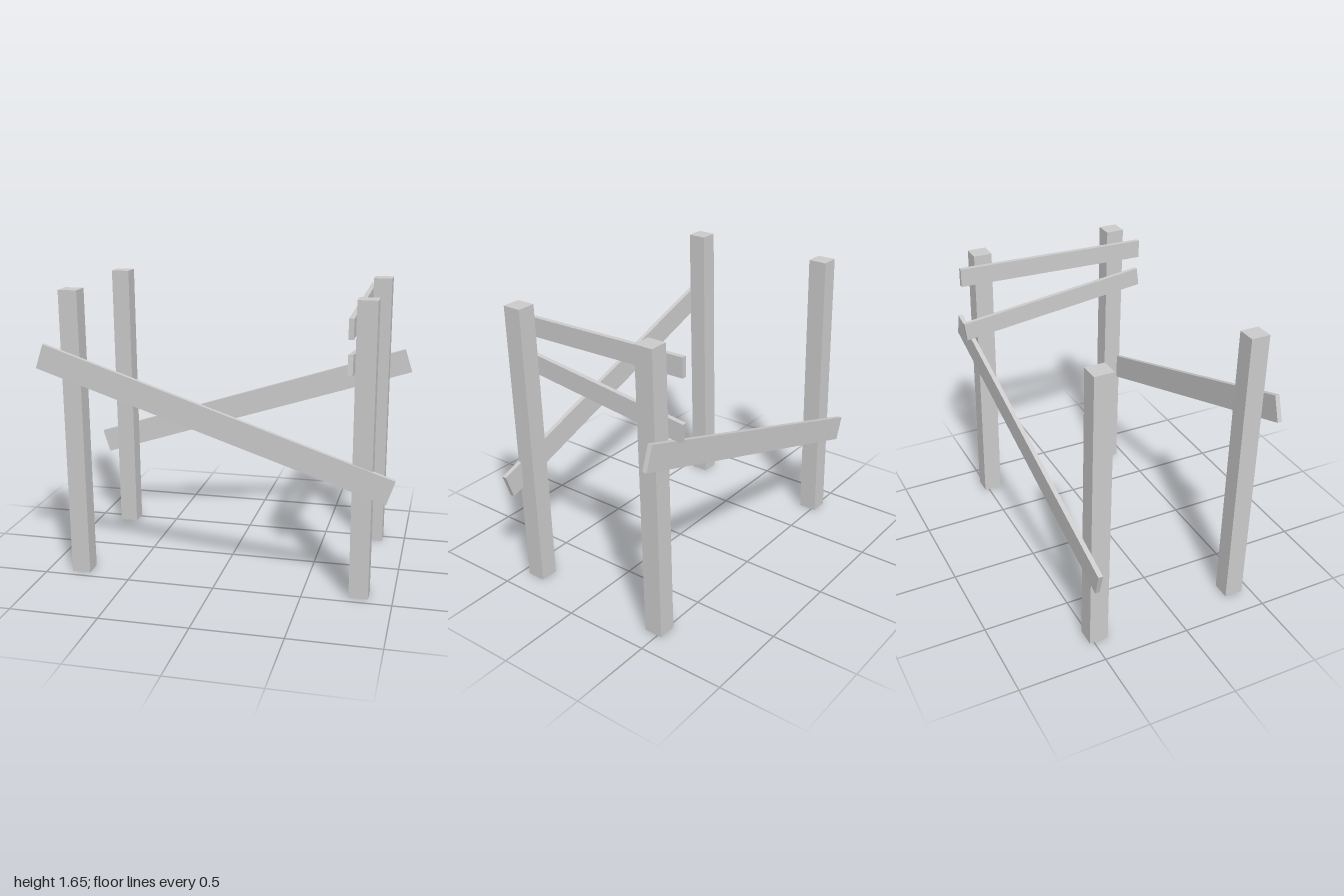
import * as THREE from 'three';

export function createModel() {
  const group = new THREE.Group();
  const material = new THREE.MeshStandardMaterial({ color: 0xcccccc, flatShading: true });

  const add = (name, geometry, position, rotation = [0, 0, 0]) => {
    const mesh = new THREE.Mesh(geometry, material);
    mesh.name = name;
    mesh.position.set(...position);
    mesh.rotation.set(...rotation);
    group.add(mesh);
  };

  // Square posts, leaning forward but cut level at both ends
  const height = 1.652;
  const post = new THREE.BoxGeometry(0.107, height, 0.108);
  post.translate(0, height / 2, 0);
  post.applyMatrix4(new THREE.Matrix4().set(
    1, 0, 0, 0,
    0, 1, 0, 0,
    0, 0.0227, 1, 0,
    0, 0, 0, 1,
  ));
  for (const [side, x] of [['left', 0.812], ['right', -0.802]]) {
    add(side + 'FrontPost', post, [x, 0, 0.397]);
    add(side + 'BackPost', post, [x, 0, -0.471]);
  }

  // Long diagonal braces nailed to the outside of the posts
  const brace = new THREE.BoxGeometry(2.048, 0.144, 0.026);
  add('frontBrace', brace, [-0.004, 0.958, 0.477], [0.025, 0.0095, -0.326]);
  add('backBrace', brace, [-0.001, 0.823, -0.531], [-0.012, 0.002, 0.313]);

  // Two crooked rails on the inner face of the left posts
  const rail = new THREE.BoxGeometry(0.027, 0.108, 1.172);
  add('upperRail', rail, [0.744, 1.532, 0.001], [0.0215, 0, 0]);
  add('lowerRail', rail, [0.744, 1.263, 0], [-0.121, 0, 0]);

  return group;
}
